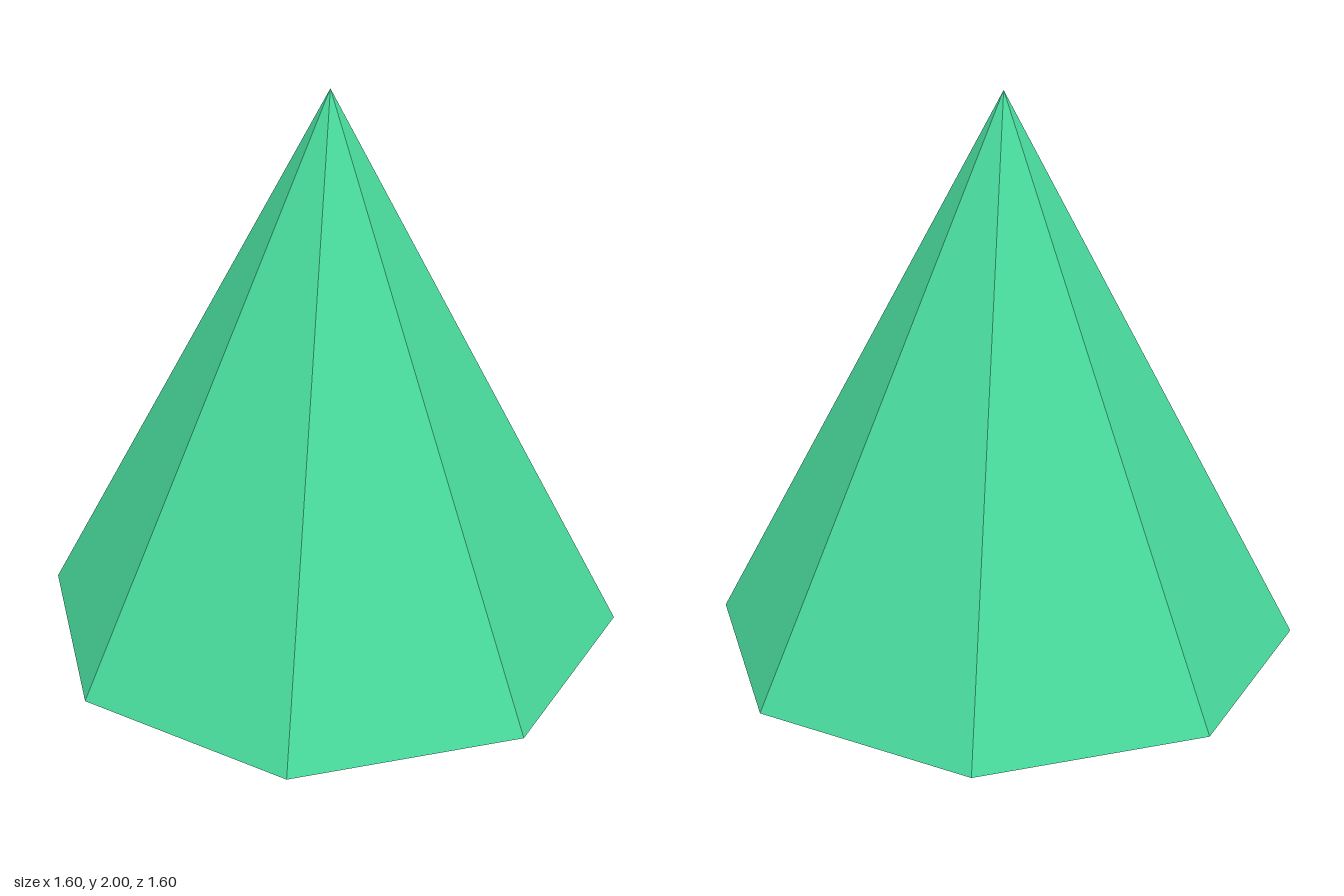
import * as THREE from 'three';

const SIDES = 8;
const RADIUS = 0.8 / Math.cos(Math.PI / SIDES); // flats lie at 0.8
const RIM_Y = 0.4;
const HEIGHT = 2;

export function createModel() {
  const gem = new THREE.Group();
  gem.name = 'gem';

  const emerald = new THREE.MeshStandardMaterial({ color: 0x48d89b });
  emerald.name = 'emerald green';
  emerald.flatShading = true;

  // Open faceted cone with a flat side facing the front
  const facetedCone = (name, height) => {
    const geometry = new THREE.ConeGeometry(RADIUS, height, SIDES, 1, true, Math.PI / SIDES);
    const mesh = new THREE.Mesh(geometry, emerald);
    mesh.name = name;
    gem.add(mesh);
    return mesh;
  };

  // Tall upper point
  const crown = facetedCone('crown', HEIGHT - RIM_Y);
  crown.position.y = (HEIGHT + RIM_Y) / 2;

  // Shallow lower point, turned upside down
  const pavilion = facetedCone('pavilion', RIM_Y);
  pavilion.rotation.x = Math.PI;
  pavilion.position.y = RIM_Y / 2;

  return gem;
}
